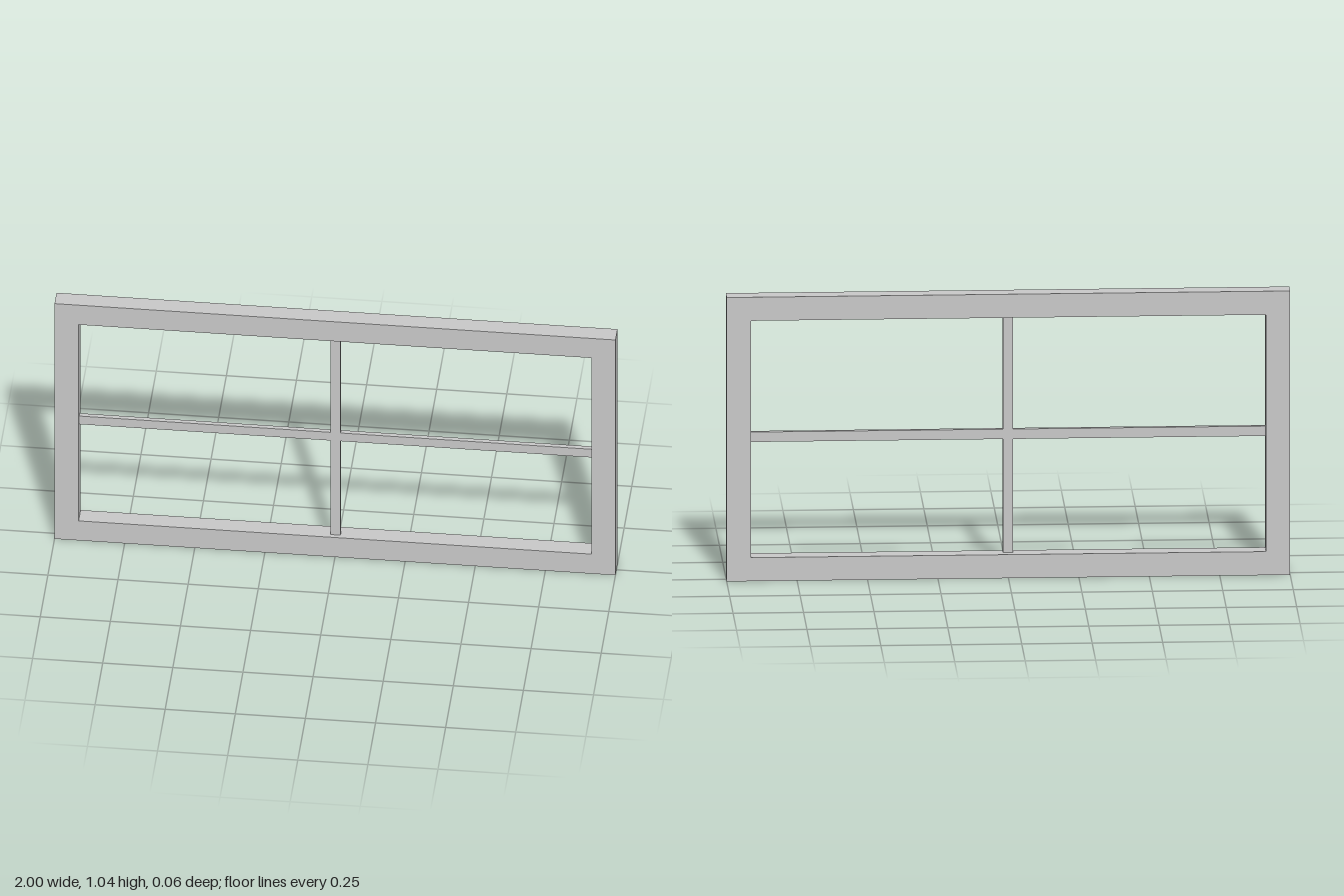
import * as THREE from 'three';

const W = 2, H = 1.037, DEPTH = 0.065, BORDER = 0.086;
const BAR = 0.036, BAR_DEPTH = 0.017, BAR_Z = 0.008;

export function createModel() {
  const group = new THREE.Group();
  group.name = 'windowFrame';
  const grey = new THREE.MeshStandardMaterial({ color: 0xc8c8c8 });
  grey.name = 'lightGrey';

  // Outer frame with a rectangular opening
  const outline = new THREE.Shape([
    new THREE.Vector2(-W / 2, 0), new THREE.Vector2(W / 2, 0),
    new THREE.Vector2(W / 2, H), new THREE.Vector2(-W / 2, H),
  ]);
  const x = W / 2 - BORDER, top = H - BORDER;
  outline.holes.push(new THREE.Path([
    new THREE.Vector2(-x, BORDER), new THREE.Vector2(-x, top),
    new THREE.Vector2(x, top), new THREE.Vector2(x, BORDER),
  ]));
  const frameGeometry = new THREE.ExtrudeGeometry(outline, { depth: DEPTH, bevelEnabled: false });
  frameGeometry.translate(0, 0, -DEPTH / 2);
  const frame = new THREE.Mesh(frameGeometry, grey);
  frame.name = 'outerFrame';
  group.add(frame);

  // Thin glazing bars, set slightly forward of the middle
  const addBar = (name, w, h, px) => {
    const bar = new THREE.Mesh(new THREE.BoxGeometry(w, h, BAR_DEPTH), grey);
    bar.name = name;
    bar.position.set(px, H / 2, BAR_Z);
    group.add(bar);
  };
  addBar('verticalBar', BAR, top - BORDER, 0);
  const half = x - BAR / 2;
  for (const [name, side] of [['leftBar', 1], ['rightBar', -1]]) {
    addBar(name, half, BAR, side * (BAR / 2 + half / 2));
  }

  return group;
}
